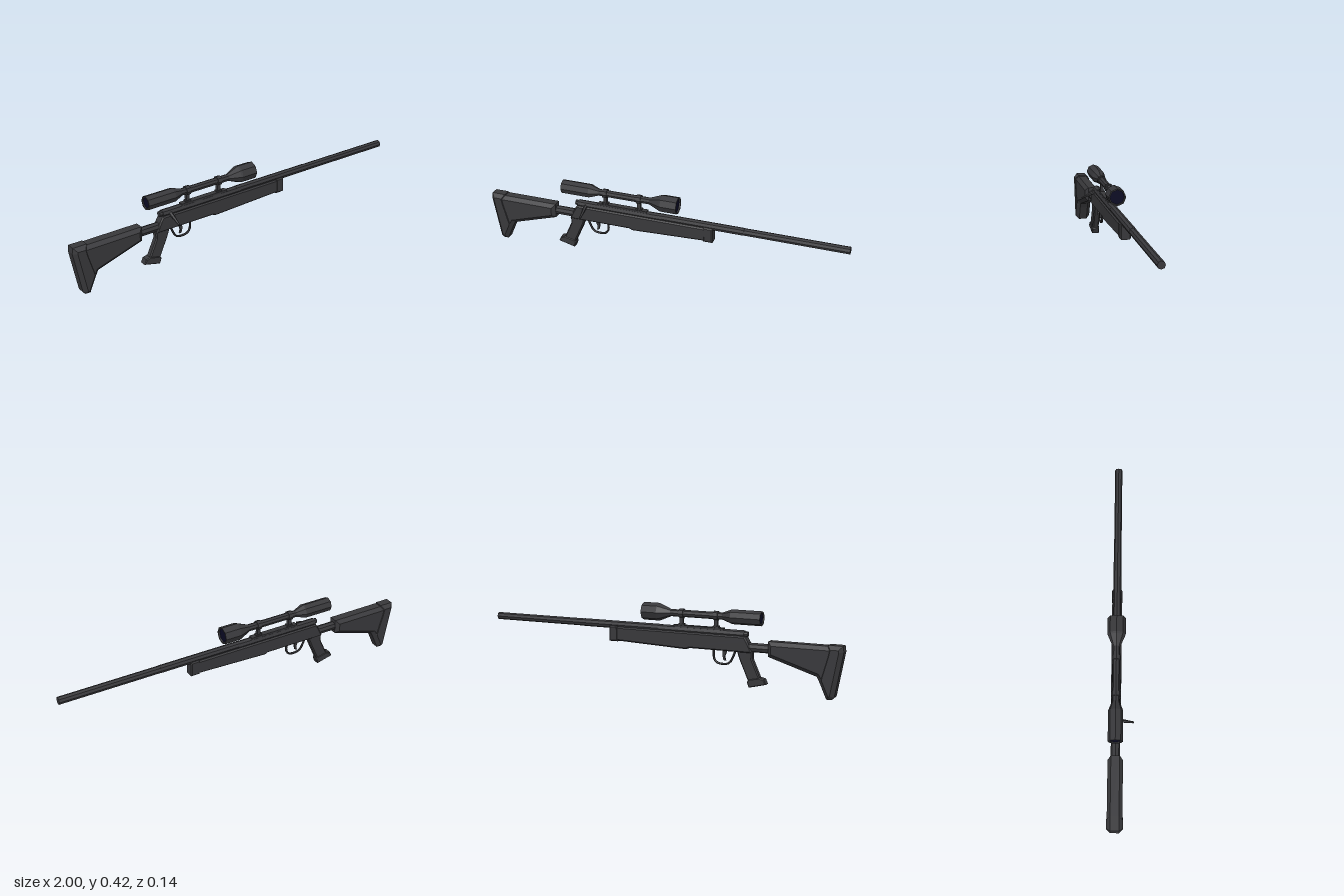
import * as THREE from 'three';

const AXIS_Z = -0.023; // the gun's centre plane; the bolt handle reaches out to +z

export function createModel() {
  const gunmetal = new THREE.MeshStandardMaterial({ color: 0x38383b });
  gunmetal.name = 'gunmetal';
  const lensGlass = new THREE.MeshStandardMaterial({ color: 0x0a0a24 });
  lensGlass.name = 'lensGlass';

  const model = new THREE.Group();
  model.name = 'rifle';
  const body = new THREE.Group();
  body.name = 'body';
  body.position.z = AXIS_Z;
  model.add(body);

  // Faceted mesh
  function add(name, geometry, material = gunmetal) {
    const flat = geometry.index ? geometry.toNonIndexed() : geometry;
    flat.computeVertexNormals();
    const mesh = new THREE.Mesh(flat, material);
    mesh.name = name;
    body.add(mesh);
    return mesh;
  }

  // Side profile with chamfered edges, centred across the gun
  function plate(name, points, halfWidth, chamfer, inset = chamfer) {
    const shape = new THREE.Shape(points.map(([x, y]) => new THREE.Vector2(x, y)));
    const depth = 2 * (halfWidth - chamfer);
    const geometry = new THREE.ExtrudeGeometry(shape, {
      depth, bevelEnabled: chamfer > 0, bevelSegments: 1,
      bevelThickness: chamfer, bevelSize: inset, bevelOffset: -inset,
    });
    return add(name, geometry.translate(0, 0, -depth / 2));
  }

  // Eight-sided rod along x
  function rod(name, x0, x1, y, r0, r1 = r0, material = gunmetal) {
    const geometry = new THREE.CylinderGeometry(r1, r0, x1 - x0, 8);
    geometry.rotateZ(-Math.PI / 2).translate((x0 + x1) / 2, y, 0);
    return add(name, geometry, material);
  }

  function box(name, x0, x1, y0, y1, halfWidth) {
    const geometry = new THREE.BoxGeometry(x1 - x0, y1 - y0, halfWidth * 2);
    return add(name, geometry.translate((x0 + x1) / 2, (y0 + y1) / 2, 0));
  }

  // Shoulder stock and butt pad
  plate('stock', [
    [-0.97, 0.27], [-0.97, 0.09], [-0.93, 0.04], [-0.905, 0.04],
    [-0.867, 0.113], [-0.612, 0.192], [-0.612, 0.27],
  ], 0.039, 0.017, 0.02);
  plate('buttPad', [
    [-0.995, 0.275], [-1, 0.245], [-0.958, 0.016], [-0.945, 0.003], [-0.918, 0.003],
    [-0.875, 0.1], [-0.91, 0.225], [-0.92, 0.275],
  ], 0.042, 0.02, 0.02);
  rod('stockTube', -0.63, -0.5, 0.229, 0.024);

  // Receiver and fore-end
  plate('receiver', [
    [-0.527, 0.203], [-0.5, 0.262], [-0.485, 0.285], [0.25, 0.285],
    [0.25, 0.211], [-0.165, 0.195], [-0.18, 0.203],
  ], 0.026, 0.007);
  plate('foreEndBlock', [
    [0.235, 0.29], [0.235, 0.207], [0.285, 0.207], [0.285, 0.29],
  ], 0.028, 0.006);
  rod('action', -0.48, 0.0, 0.292, 0.022);
  rod('boltCap', -0.497, -0.455, 0.295, 0.014, 0.018);

  // Barrel
  rod('barrel', -0.02, 0.45, 0.294, 0.021);
  rod('muzzleSection', 0.45, 1, 0.294, 0.02);

  // Pistol grip with flared foot
  plate('grip', [
    [-0.527, 0.212], [-0.525, 0.17], [-0.57, 0.07], [-0.505, 0.055],
    [-0.457, 0.163], [-0.44, 0.212],
  ], 0.018, 0.006);
  plate('gripFoot', [
    [-0.602, 0.046], [-0.59, 0.072], [-0.565, 0.078], [-0.51, 0.066],
    [-0.5, 0.052], [-0.51, 0.023],
  ], 0.021, 0.004);

  // Trigger guard as a bent band, with the trigger inside
  const guardPath = new THREE.CatmullRomCurve3([
    [-0.43, 0.205], [-0.411, 0.16], [-0.395, 0.138], [-0.365, 0.131],
    [-0.33, 0.136], [-0.313, 0.155], [-0.31, 0.205],
  ].map(([x, y]) => new THREE.Vector3(x, y, 0)));
  add('triggerGuard', new THREE.TubeGeometry(guardPath, 14, 0.006, 6));
  plate('trigger', [
    [-0.385, 0.205], [-0.372, 0.17], [-0.378, 0.15], [-0.366, 0.152],
    [-0.36, 0.175], [-0.362, 0.205],
  ], 0.005, 0);

  // Bolt handle on the left-hand face, drooping outward
  const root = new THREE.Vector3(-0.435, 0.291, 0.012);
  const tip = new THREE.Vector3(-0.435, 0.255, 0.092);
  const along = tip.clone().sub(root);
  const handle = add('boltHandle', new THREE.CylinderGeometry(0.005, 0.011, along.length(), 6));
  handle.position.copy(root).add(tip).multiplyScalar(0.5);
  handle.quaternion.setFromUnitVectors(new THREE.Vector3(0, 1, 0), along.normalize());

  // Scope rail and two ring mounts
  const scopeY = 0.379;
  box('scopeRail', -0.365, -0.085, 0.3, 0.318, 0.015);
  for (const x of [-0.323, -0.13]) {
    box('mountBase', x - 0.016, x + 0.016, 0.314, 0.326, 0.012);
    box('mountPost', x - 0.009, x + 0.009, 0.32, 0.362, 0.009);
    rod('mountRing', x - 0.012, x + 0.012, scopeY, 0.025);
  }

  // Scope body: eyepiece, tube and objective bell with recessed ends
  const scopeProfile = [
    [0.029, -0.562], [0.03, -0.57], [0.038, -0.57], [0.038, -0.41], [0.019, -0.36],
    [0.019, -0.07], [0.044, -0.01], [0.047, 0.0], [0.047, 0.088], [0.04, 0.088], [0.038, 0.076],
  ].map(([r, x]) => new THREE.Vector2(r, x));
  const scope = new THREE.LatheGeometry(scopeProfile, 8);
  add('scopeBody', scope.rotateZ(-Math.PI / 2).translate(0, scopeY, 0));
  rod('eyepieceLens', -0.564, -0.558, scopeY, 0.03, 0.03, lensGlass);
  rod('objectiveLens', 0.074, 0.08, scopeY, 0.039, 0.039, lensGlass);

  return model;
}
